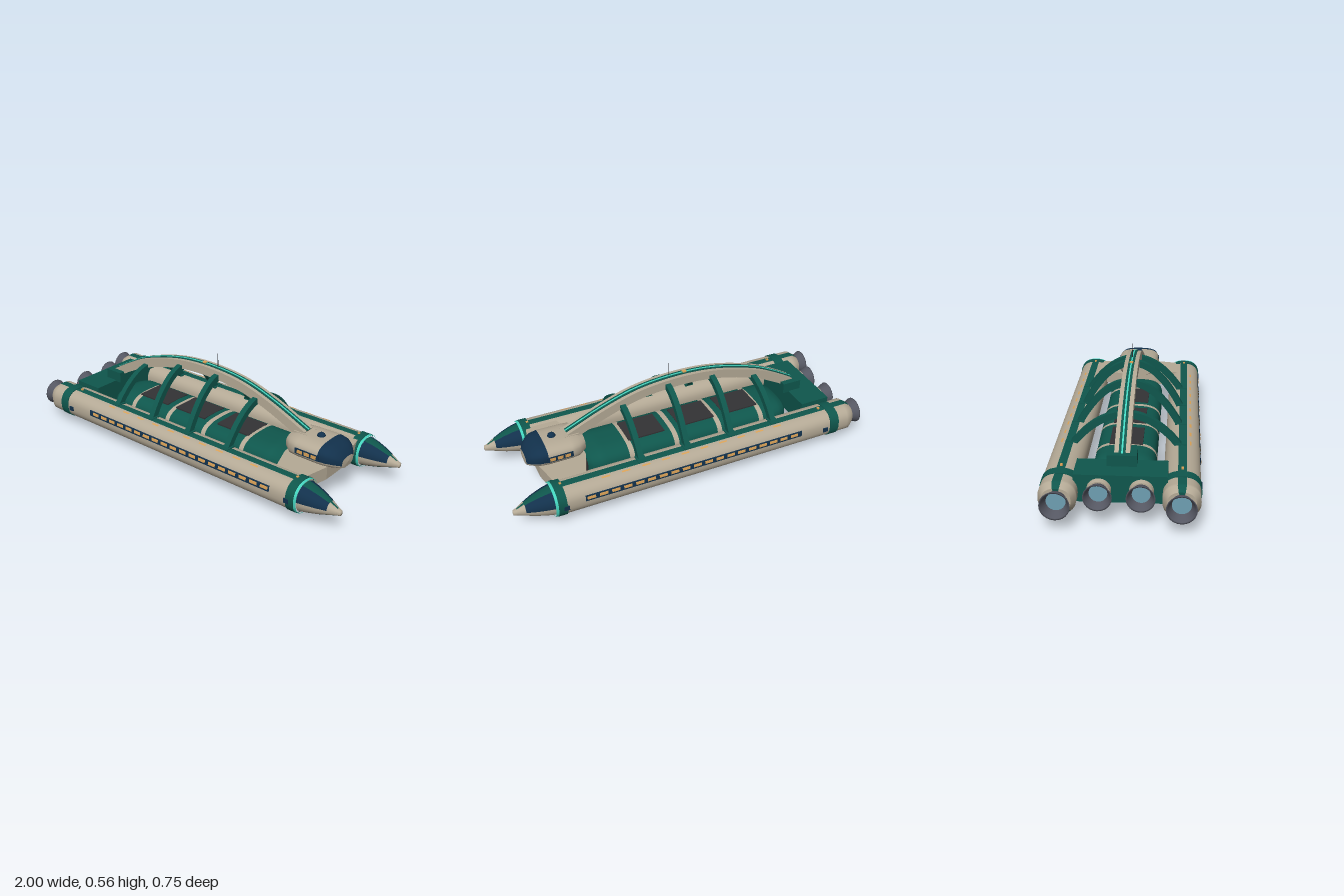
import * as THREE from 'three';

const mat = (name, color, side = THREE.FrontSide) => {
  const m = new THREE.MeshStandardMaterial({ color, side });
  m.name = name;
  return m;
};

export function createModel() {
  const beige = mat('warm beige', 0xb5aa96), green = mat('deep green', 0x0f574d), navy = mat('navy glass', 0x12314c);
  const orange = mat('lit window', 0xdba257), cyan = mat('cyan trim', 0x45d6c0), dark = mat('charcoal', 0x333335);
  const steel = mat('steel', 0x555762, THREE.DoubleSide), glow = mat('engine glow', 0x6f9fb2);
  const root = new THREE.Group();
  const add = (name, geo, material, x = 0, y = 0, z = 0, parent = root) => {
    const m = new THREE.Mesh(geo, material);
    m.name = name;
    m.position.set(x, y, z);
    parent.add(m);
    return m;
  };
  const box = (name, m, w, h, d, x, y, z, parent) => add(name, new THREE.BoxGeometry(w, h, d), m, x, y, z, parent);

  // Skin over superellipse sections [x, ry, rz, cy]; angles in degrees, 90 = top.
  // A repeated section gives a sharp edge. paint(x, angle) picks the material.
  function loft(name, sections, cz, power, paint, parent = root, a0 = 0, a1 = 360, n = 36) {
    const full = a1 - a0 === 360, cols = full ? n : n + 1, pos = [], buckets = new Map();
    const pw = v => Math.sign(v) * Math.abs(v) ** (2 / power);
    for (const [x, ry, rz, cy] of sections) for (let j = 0; j < cols; j++) {
      const a = THREE.MathUtils.degToRad(a0 + (a1 - a0) * j / n);
      pos.push(x, cy + ry * pw(Math.sin(a)), cz + rz * pw(Math.cos(a)));
    }
    for (let i = 0; i < sections.length - 1; i++) {
      const s = sections[i], t = sections[i + 1];
      if (s.every((v, k) => v === t[k])) continue;
      for (let j = 0; j < n; j++) {
        const m = paint.isMaterial ? paint : paint((s[0] + t[0]) / 2, a0 + (a1 - a0) * (j + 0.5) / n);
        if (!buckets.has(m)) buckets.set(m, []);
        const k = (j + 1) % cols, A = i * cols + j, B = i * cols + k;
        buckets.get(m).push(A, A + cols, B, B, A + cols, B + cols);
      }
    }
    const geo = new THREE.BufferGeometry(), index = [], mats = [];
    geo.setAttribute('position', new THREE.Float32BufferAttribute(pos, 3));
    for (const [m, list] of buckets) {
      geo.addGroup(index.length, list.length, mats.length);
      mats.push(m);
      index.push(...list);
    }
    geo.setIndex(index);
    geo.computeVertexNormals();
    return add(name, geo, mats, 0, 0, 0, parent);
  }

  // Curved bar: a 2D path thickened by offsets to either side, then extruded.
  function bar(points, up, down, depth) {
    const L = points.length - 1, edge = off => points.map((p, i) => {
      const t = points[Math.min(i + 1, L)].clone().sub(points[Math.max(i - 1, 0)]).normalize();
      return new THREE.Vector2(p.x - t.y * off, p.y + t.x * off);
    });
    const shape = new THREE.Shape([...edge(up), ...edge(down).reverse()]);
    return new THREE.ExtrudeGeometry(shape, { depth, bevelEnabled: false }).translate(0, 0, -depth / 2);
  }

  // Bell nozzle opening towards -x
  function nozzle(x, y, z, s) {
    const g = new THREE.Group();
    g.name = 'engineNozzle';
    g.position.set(x, y, z);
    root.add(g);
    const prof = [[0.046, 0], [0.054, 0.022], [0.068, 0.055], [0.07, 0.06], [0.062, 0.06], [0.044, 0.012]]
      .map(p => new THREE.Vector2(p[0] * s, p[1]));
    add('bell', new THREE.LatheGeometry(prof, 24).rotateZ(Math.PI / 2), steel, 0, 0, 0, g);
    add('glowDisc', new THREE.CircleGeometry(0.047 * s, 24).rotateY(-Math.PI / 2), glow, -0.014, 0, 0, g);
  }

  // Twin hulls
  const H = [0.08, 0.0875, 0.13];
  const sleeve = (x0, x1, o) => [[x0, H[0], H[1], H[2]], [x0, H[0] + o, H[1] + o, H[2]], [x0, H[0] + o, H[1] + o, H[2]],
    [x1, H[0] + o, H[1] + o, H[2]], [x1, H[0] + o, H[1] + o, H[2]], [x1, H[0], H[1], H[2]]];
  const hullPaint = (x, a) => (Math.abs(a - 90) < 10 || Math.abs(a - 270) < 40) ? green : beige;
  const nosePaint = (x, a) => x > 0.985 ? beige : hullPaint(x, a) === green ? green
    : (a < 180 && x < 0.95) ? (Math.abs(a - 90) < 20 ? green : navy) : beige;
  for (const s of [1, -1]) {
    const z = s * 0.28, g = new THREE.Group();
    g.name = s > 0 ? 'leftHull' : 'rightHull';
    root.add(g);
    loft('hullBody', [[-0.95, 0.001, 0.001, 0.13], [-0.95, 0.06, 0.066, 0.13], [-0.95, 0.06, 0.066, 0.13],
      [-0.92, ...H], [-0.9, ...H], [0.8, ...H]], z, 2.4, hullPaint, g);
    loft('hullNose', [[0.8, 0.074, 0.08, 0.13], [0.84, 0.066, 0.071, 0.129], [0.89, 0.052, 0.056, 0.126],
      [0.94, 0.034, 0.036, 0.122], [0.98, 0.018, 0.018, 0.117], [0.98, 0.018, 0.018, 0.117],
      [0.997, 0.013, 0.013, 0.116], [1, 0.001, 0.001, 0.116]], z, 2.2, nosePaint, g);
    loft('aftBand', sleeve(-0.84, -0.785, 0.004), z, 2.4, green, g);
    loft('foreBand', sleeve(0.745, 0.79, 0.004), z, 2.4, green, g);
    loft('cyanRing', sleeve(0.788, 0.804, 0.002), z, 2.4, cyan, g);
    // Panels that follow the hull skin, on the outboard side
    const patch = (name, m, x0, x1, a0, a1, o) => loft(name, [x0, x1].map(x => [x, H[0] + o, H[1] + o, H[2]]), z, 2.4, m, g,
      s > 0 ? a0 : 180 - a1, s > 0 ? a1 : 180 - a0, 6);
    patch('windowStrip', navy, -0.6, 0.65, 0.5, 21, 0.002);
    for (let i = 0; i < 19; i++) patch('cabinWindow', orange, -0.573 + i * 0.065, -0.528 + i * 0.065, 5, 15.5, 0.004);
    for (let i = 0; i < 10; i++) patch('deckLight', orange, -0.49 + i * 0.11, -0.445 + i * 0.11, 66, 72, 0.002);
    for (const x of [-0.755, 0.75]) {
      box('hatch', navy, 0.028, 0.024, 0.012, x, 0.125, s * 0.368, g);
      box('deckBeacon', orange, 0.012, 0.008, 0.012, x, 0.214, z, g);
    }
    nozzle(-0.94, 0.13, z, 1);

    // Inner engines on the aft beam
    add('engineHousing', new THREE.CylinderGeometry(0.06, 0.052, 0.04, 24).rotateZ(-Math.PI / 2), beige, -0.865, 0.145, s * 0.097);
    nozzle(-0.88, 0.145, s * 0.097, 0.95);
  }

  // Cargo pod slung between the hulls
  const pod = [[-0.65, 0.001, 0.001, 0.1], [-0.65, 0.062, 0.105, 0.1], [-0.65, 0.062, 0.105, 0.1], [-0.63, 0.085, 0.135, 0.1],
    [-0.59, 0.097, 0.151, 0.1], [-0.55, 0.098, 0.153, 0.1], [0.44, 0.098, 0.153, 0.1], [0.48, 0.096, 0.15, 0.1],
    [0.52, 0.08, 0.13, 0.1], [0.54, 0.055, 0.096, 0.1], [0.54, 0.055, 0.096, 0.1], [0.54, 0.001, 0.001, 0.1]];
  loft('cargoPod', pod, 0, 3, (x, a) => x > 0.5399 ? dark : green);
  const ribX = [-0.47, -0.21, 0.05, 0.31], ribTop = [0.375, 0.445, 0.462, 0.405];
  for (const x of ribX) {
    loft('podBand', [-0.014, 0.014].map(d => [x + d, 0.1, 0.1555, 0.1]), 0, 3, beige);
  }
  for (const x of [-0.37, -0.1, 0.2]) box('podHatch', dark, 0.21, 0.008, 0.165, x, 0.196, 0);

  // Aft beam and arch footing
  box('aftBeam', green, 0.17, 0.135, 0.43, -0.775, 0.15, 0);
  box('archFooting', green, 0.11, 0.06, 0.14, -0.71, 0.242, 0);

  // Forward wing joining the hulls
  const half = [[0.55, 0.1], [0.6, 0.24], [0.77, 0.24], [0.8, 0.1]];
  const wing = new THREE.Shape([...half, ...half.map(p => [p[0], -p[1]]).reverse()].map(p => new THREE.Vector2(...p)));
  add('forwardWing', new THREE.ExtrudeGeometry(wing, { depth: 0.07, bevelEnabled: false }).rotateX(Math.PI / 2), beige, 0, 0.205, 0);

  // Command cabin
  loft('commandCabin', [[0.54, 0.001, 0.001, 0.24], [0.54, 0.042, 0.08, 0.24], [0.54, 0.042, 0.08, 0.24], [0.58, 0.056, 0.113, 0.242],
    [0.62, 0.058, 0.118, 0.242], [0.75, 0.058, 0.119, 0.242], [0.79, 0.055, 0.112, 0.24], [0.82, 0.046, 0.094, 0.233],
    [0.842, 0.036, 0.07, 0.222], [0.852, 0.028, 0.05, 0.213], [0.852, 0.028, 0.05, 0.213], [0.856, 0.001, 0.001, 0.213]],
  0, 2.8, (x, a) => x > 0.75 && x < 0.852 && (a < 190 || a > 350) ? navy : beige);
  for (const s of [1, -1]) {
    box('cabinWindowStrip', navy, 0.14, 0.03, 0.006, 0.69, 0.242, s * 0.118);
    for (let i = 0; i < 3; i++) box('cabinLight', orange, 0.03, 0.018, 0.006, 0.65 + i * 0.04, 0.242, s * 0.12);
  }
  add('sensorDome', new THREE.SphereGeometry(0.022, 20, 10, 0, Math.PI * 2, 0, Math.PI / 2), navy, 0.695, 0.296, 0);

  // Spine arch with its running stripes
  const spine = new THREE.SplineCurve([[-0.76, 0.255], [-0.62, 0.335], [-0.48, 0.4], [-0.25, 0.462], [-0.03, 0.48], [0.2, 0.46],
    [0.4, 0.4], [0.62, 0.305]].map(p => new THREE.Vector2(...p))).getPoints(48);
  add('spineArch', bar(spine, 0, -0.05, 0.074), beige);
  add('spineStripe', bar(spine, 0.003, -0.001, 0.032), green);
  add('spineLightLine', bar(spine, 0.005, 0.002, 0.008), cyan);
  box('spineFairing', beige, 0.08, 0.05, 0.09, 0.6, 0.275, 0);
  box('spineBeacon', orange, 0.02, 0.01, 0.018, -0.06, 0.484, 0);
  add('antenna', new THREE.CylinderGeometry(0.0012, 0.0025, 0.08, 8), dark, 0.03, 0.52, 0);

  // Arched ribs from the spine down to both hulls
  ribX.forEach((x, i) => {
    const h = ribTop[i] - 0.017;
    for (const s of [1, -1]) {
      const path = new THREE.QuadraticBezierCurve(new THREE.Vector2(0, h), new THREE.Vector2(s * 0.14, h),
        new THREE.Vector2(s * 0.265, 0.195)).getPoints(20);
      add(s > 0 ? 'leftRib' : 'rightRib', bar(path, 0.017, -0.017, 0.03).rotateY(-Math.PI / 2), green, x, 0, 0);
      box('ribFoot', green, 0.05, 0.016, 0.06, x, 0.205, s * 0.268);
    }
  });
  return root;
}
